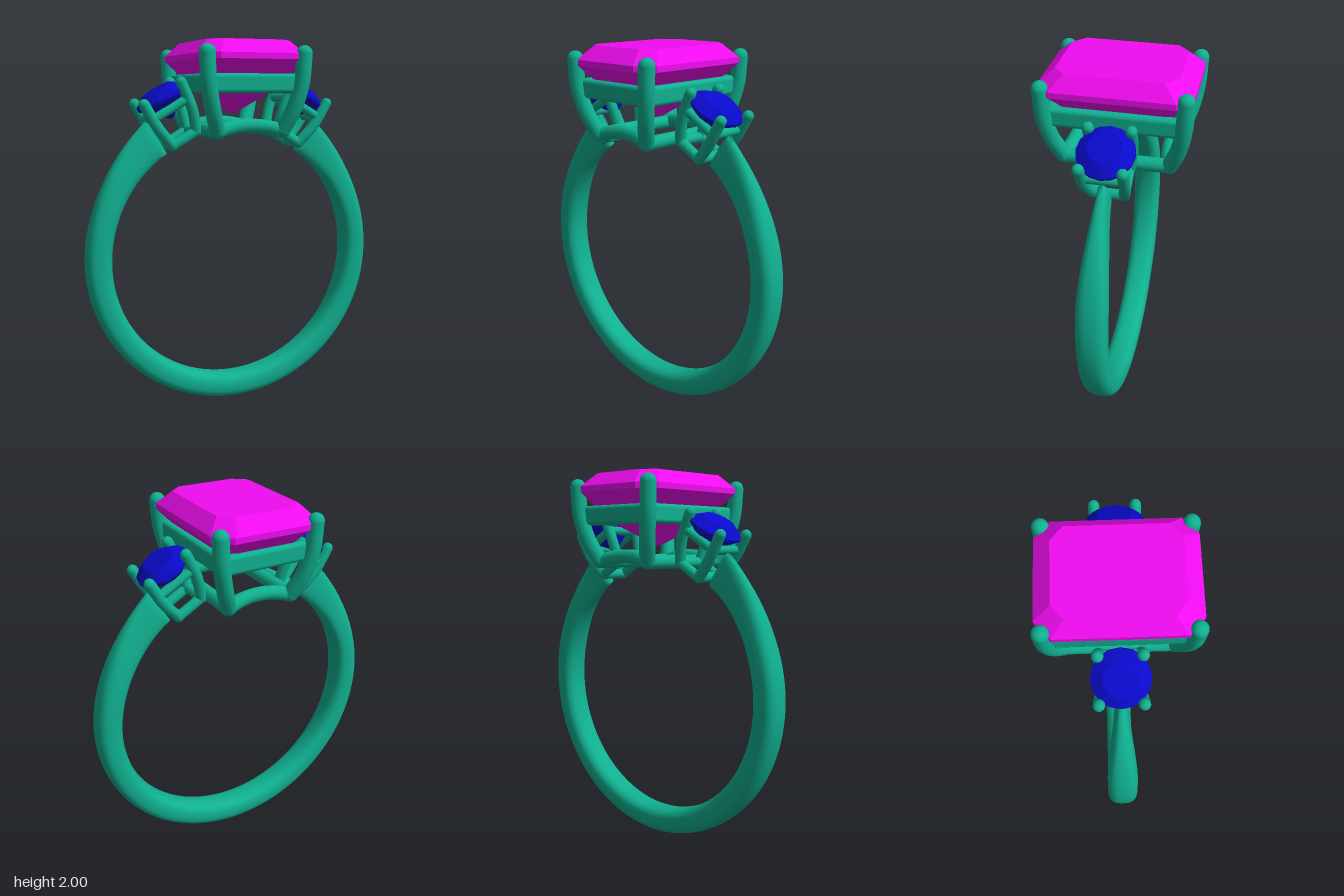
import * as THREE from 'three';
import { RoundedBoxGeometry } from 'three/addons/geometries/RoundedBoxGeometry.js';

const metal = new THREE.MeshStandardMaterial({ color: 0x10b090 });
const pink = new THREE.MeshStandardMaterial({ color: 0xf00cf0, flatShading: true });
const blue = new THREE.MeshStandardMaterial({ color: 0x0a0acc, flatShading: true });
const V = (x, y, z) => new THREE.Vector3(x, y, z);

function add(parent, name, geometry, material = metal) {
  const mesh = new THREE.Mesh(geometry, material);
  mesh.name = name;
  parent.add(mesh);
  return mesh;
}

// Skin a list of equal-sized rings of points and cap both ends
function loft(rings) {
  const n = rings[0].length, last = (rings.length - 1) * n, index = [];
  for (let i = 0; i < rings.length - 1; i++) {
    for (let j = 0; j < n; j++) {
      const a = i * n + j, b = i * n + (j + 1) % n;
      index.push(a, a + n, b, b, a + n, b + n);
    }
  }
  for (let j = 1; j < n - 1; j++) {
    index.push(0, j, j + 1, last, last + j + 1, last + j);
  }
  const geometry = new THREE.BufferGeometry().setFromPoints(rings.flat());
  geometry.setIndex(index);
  geometry.computeVertexNormals();
  return geometry;
}

// Round wire through points, with ball ends
function wire(parent, name, points, radius) {
  const group = new THREE.Group();
  group.name = name;
  const curve = new THREE.CatmullRomCurve3(points);
  add(group, name + 'Wire', new THREE.TubeGeometry(curve, points.length > 2 ? 20 : 1, radius, 14));
  for (const p of [points[0], points[points.length - 1]]) {
    add(group, name + 'End', new THREE.SphereGeometry(radius, 14, 10)).position.copy(p);
  }
  parent.add(group);
}

// Open-topped band: rounded section, narrower and deeper towards the shoulders
function bandGeometry() {
  const rings = [], steps = 96, start = 123, sweep = 294;
  const round = (v) => Math.sign(v) * Math.abs(v) ** 0.75;
  for (let i = 0; i <= steps; i++) {
    const deg = start + sweep * i / steps, t = THREE.MathUtils.degToRad(deg);
    const fromEnd = Math.min(deg - start, start + sweep - deg);
    const s = THREE.MathUtils.clamp(1 - fromEnd / 45, 0, 1);
    const inner = 0.69, outer = 0.83 + 0.07 * s * s;
    const halfZ = 0.08 - 0.052 * s * s * (2 - s);
    const ring = [];
    for (let j = 0; j < 24; j++) {
      const f = j / 24 * Math.PI * 2;
      const r = (inner + outer) / 2 + (outer - inner) / 2 * round(Math.cos(f));
      ring.push(V(r * Math.cos(t), 0.83 + r * Math.sin(t), halfZ * round(Math.sin(f))));
    }
    rings.push(ring);
  }
  return loft(rings);
}

// Step-cut rectangular stone: [y, half width, half depth] levels with cut corners
function centerStoneGeometry() {
  const levels = [[1.62, 0.005, 0.01], [1.73, 0.14, 0.22], [1.83, 0.225, 0.315],
    [1.9, 0.29, 0.38], [1.93, 0.29, 0.38], [2, 0.225, 0.3]];
  return loft(levels.map(([y, w, d]) => {
    const cx = w * 0.7, cz = d * 0.8;
    return [V(w, y, -cz), V(w, y, cz), V(cx, y, d), V(-cx, y, d),
      V(-w, y, cz), V(-w, y, -cz), V(-cx, y, -d), V(cx, y, -d)];
  }));
}

// Round-cut stone: [y, radius] levels
function roundStoneGeometry() {
  const levels = [[-0.125, 0.012], [-0.02, 0.13], [-0.01, 0.143], [0.005, 0.143], [0.045, 0.085]];
  return loft(levels.map(([y, r]) => Array.from({ length: 16 }, (_, j) => {
    const a = j / 16 * Math.PI * 2;
    return V(r * Math.cos(a), y, r * Math.sin(a));
  })));
}

function centerSetting() {
  const group = new THREE.Group();
  group.name = 'centerSetting';
  add(group, 'centerStone', centerStoneGeometry(), pink);
  for (const s of [-1, 1]) {
    // Gallery rail under the stone
    add(group, 'galleryRailLong', new RoundedBoxGeometry(0.055, 0.1, 0.66, 3, 0.022)).position.set(s * 0.232, 1.78, 0);
    add(group, 'galleryRailShort', new RoundedBoxGeometry(0.5, 0.1, 0.055, 3, 0.022)).position.set(0, 1.78, s * 0.315);
    // Base frame: arched bars front and back, straight bars at the sides
    wire(group, 'baseArch', [V(-0.18, 1.537, s * 0.265), V(-0.09, 1.558, s * 0.25),
      V(0, 1.565, s * 0.245), V(0.09, 1.558, s * 0.25), V(0.18, 1.537, s * 0.265)], 0.037);
    wire(group, 'baseSideBar', [V(s * 0.18, 1.537, -0.27), V(s * 0.18, 1.537, 0.27)], 0.037);
    // Bowed corner prongs
    for (const z of [-1, 1]) {
      wire(group, 'centerProng', [V(s * 0.18, 1.54, z * 0.27), V(s * 0.222, 1.65, z * 0.315),
        V(s * 0.252, 1.78, z * 0.341), V(s * 0.262, 1.93, z * 0.348)], 0.042);
    }
  }
  return group;
}

// Tilted basket with a round stone, leaning away from the middle
function sideSetting(side) {
  const group = new THREE.Group();
  group.name = side > 0 ? 'leftSetting' : 'rightSetting';
  add(group, 'sideStone', roundStoneGeometry(), blue);
  const outerX = side * 0.09, innerX = side * -0.06;
  for (const z of [-1, 1]) {
    wire(group, 'outerProng', [V(outerX, -0.24, z * 0.08), V(side * 0.115, -0.12, z * 0.1),
      V(side * 0.118, 0.025, z * 0.105)], 0.029);
    wire(group, 'innerProng', [V(innerX, -0.24, z * 0.08), V(side * -0.095, -0.12, z * 0.1),
      V(side * -0.11, 0.025, z * 0.105)], 0.029);
    wire(group, 'basketBaseRail', [V(innerX, -0.24, z * 0.08), V(outerX, -0.24, z * 0.08)], 0.027);
    wire(group, 'basketTopRail', [V(side * -0.1, -0.065, z * 0.1), V(side * 0.112, -0.065, z * 0.1)], 0.024);
  }
  // Cross rails joining the front and back prongs
  for (const x of [innerX, outerX]) {
    wire(group, 'basketBaseCrossRail', [V(x, -0.24, -0.08), V(x, -0.24, 0.08)], 0.027);
  }
  for (const x of [side * -0.1, side * 0.112]) {
    wire(group, 'basketTopCrossRail', [V(x, -0.065, -0.1), V(x, -0.065, 0.1)], 0.024);
  }
  group.position.set(side * 0.405, 1.71, 0);
  group.rotation.z = -side * Math.PI / 6;
  return group;
}

export function createModel() {
  const ring = new THREE.Group();
  ring.name = 'threeStoneRing';
  add(ring, 'band', bandGeometry());
  ring.add(centerSetting(), sideSetting(1), sideSetting(-1));
  return ring;
}
